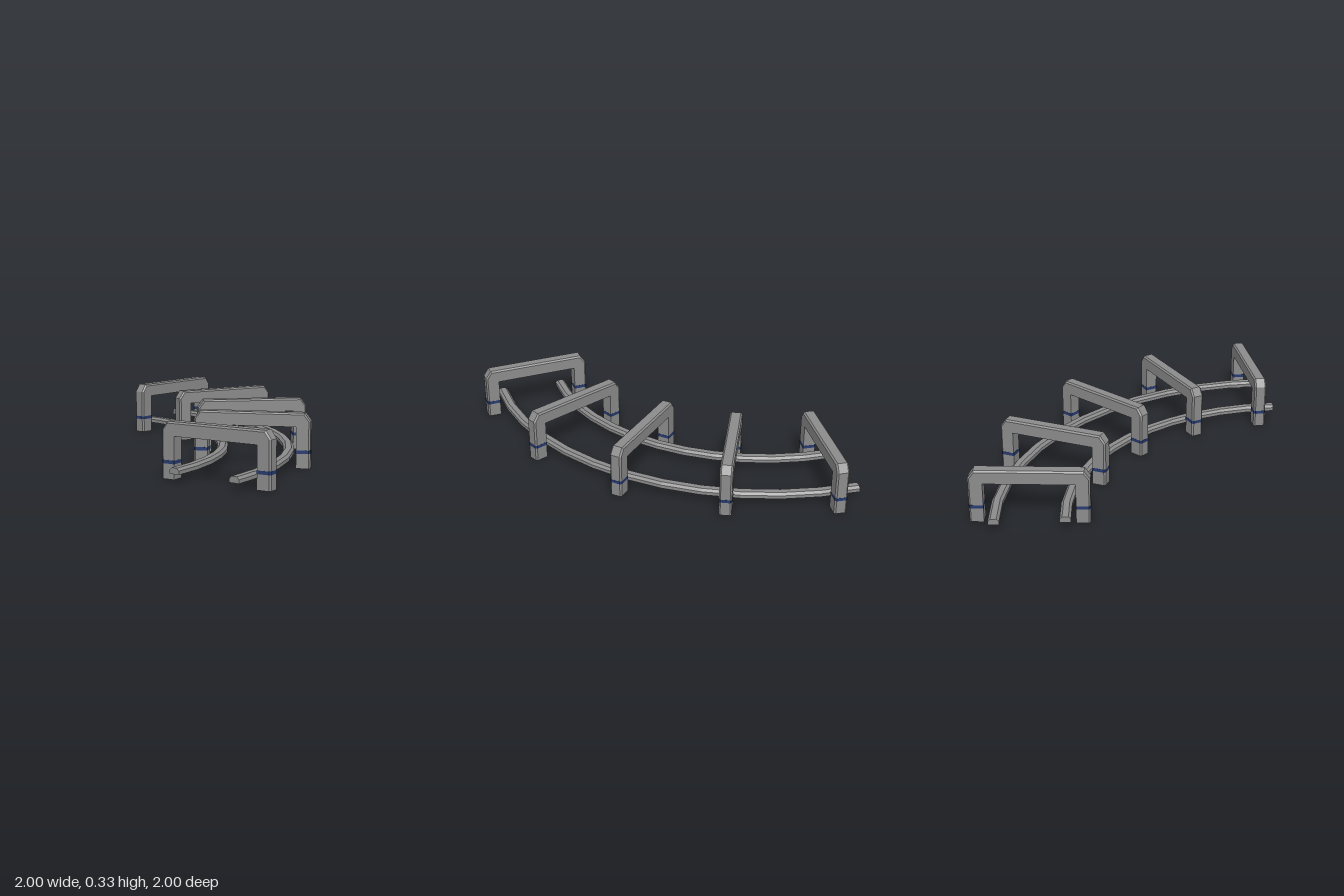
import * as THREE from 'three';

const grey = new THREE.MeshStandardMaterial({ color: 0x8c8c8c, flatShading: true, side: THREE.DoubleSide });
const blue = new THREE.MeshStandardMaterial({ color: 0x263a70, flatShading: true, side: THREE.DoubleSide });

const toShape = (pts) => new THREE.Shape(pts.map(([x, y]) => new THREE.Vector2(x, y)));

function addMesh(parent, name, geometry, material) {
  const mesh = new THREE.Mesh(geometry, material);
  mesh.name = name;
  parent.add(mesh);
  return mesh;
}

// Quarter-circle rail with chamfered top edges, closed at both ends
function makeRail(name, radius) {
  const rail = new THREE.Group();
  rail.name = name;
  const h = 0.033, c = 0.015, y0 = 0.053, y1 = 0.09;
  const profile = [
    [radius - h, y0], [radius + h, y0], [radius + h, y1 - c],
    [radius + h - c, y1], [radius - h + c, y1], [radius - h, y1 - c],
  ];
  const loop = [...profile, profile[0]].map(([x, y]) => new THREE.Vector2(x, y));
  addMesh(rail, 'railBar', new THREE.LatheGeometry(loop, 12, 0, Math.PI / 2), grey);
  for (const angle of [0, -Math.PI / 2]) {
    addMesh(rail, 'railEnd', new THREE.ShapeGeometry(toShape(profile)), grey).rotation.y = angle;
  }
  return rail;
}

const span = 0.353, leg = 0.085, top = 0.333, width = 0.078, bevel = 0.01;

// Arch frame: only the outer edges are bevelled, the opening stays square
function frameGeometry() {
  const outline = toShape([
    [-span, 0], [leg - span, 0], [leg - span, 0.25], [span - leg, 0.25],
    [span - leg, 0], [span, 0], [span, top - 0.05], [span - 0.035, top],
    [0.035 - span, top], [-span, top - 0.05],
  ]);
  const geometry = new THREE.ExtrudeGeometry(outline, { depth: 3, steps: 3, bevelEnabled: false });
  const layers = [-width / 2, bevel - width / 2, width / 2 - bevel, width / 2];
  const p = geometry.attributes.position;
  for (let i = 0; i < p.count; i++) {
    const layer = Math.round(p.getZ(i)), x = p.getX(i), y = p.getY(i);
    p.setZ(i, layers[layer]);
    const isOuter = Math.abs(x) > span - 0.04;
    if (isOuter && (layer === 0 || layer === 3)) {
      const isTop = y > top - 0.01;
      p.setX(i, x - Math.sign(x) * (isTop ? bevel / 2 : bevel));
      if (isTop) p.setY(i, y - bevel);
    }
  }
  return geometry;
}

// Stripe wrapped flush round a leg, following its bevelled outer edges
function stripeGeometry() {
  const a = leg / 2 + 0.001, b = width / 2 + 0.001;
  const ring = toShape([[-a, -b], [a - bevel, -b], [a, bevel - b], [a, b - bevel], [a - bevel, b], [-a, b]]);
  const geometry = new THREE.ExtrudeGeometry(ring, { depth: 0.02, bevelEnabled: false });
  return geometry.rotateX(-Math.PI / 2);
}

// Arch spanning both rails, laid along a radius of the curve
function makeArch(angle) {
  const arch = new THREE.Group();
  arch.name = 'arch';
  addMesh(arch, 'archFrame', frameGeometry(), grey);
  for (const side of [-1, 1]) {
    const stripe = addMesh(arch, 'legStripe', stripeGeometry(), blue);
    stripe.position.set(side * (span - leg / 2), 0.09, 0);
    stripe.rotation.y = side > 0 ? 0 : Math.PI;
  }
  const radius = 1.648;
  arch.position.set(radius * Math.sin(angle), 0, radius * Math.cos(angle));
  arch.rotation.y = angle - Math.PI / 2;
  return arch;
}

export function createModel() {
  const model = new THREE.Group();
  model.name = 'curvedTrack';

  // Everything turns around the centre of the curve
  const curve = new THREE.Group();
  curve.name = 'curve';
  curve.position.set(-1, 0, -1);
  model.add(curve);

  curve.add(makeRail('innerRail', 1.442), makeRail('outerRail', 1.852));
  for (const degrees of [5, 25, 45, 65, 85]) {
    curve.add(makeArch(THREE.MathUtils.degToRad(degrees)));
  }
  return model;
}
